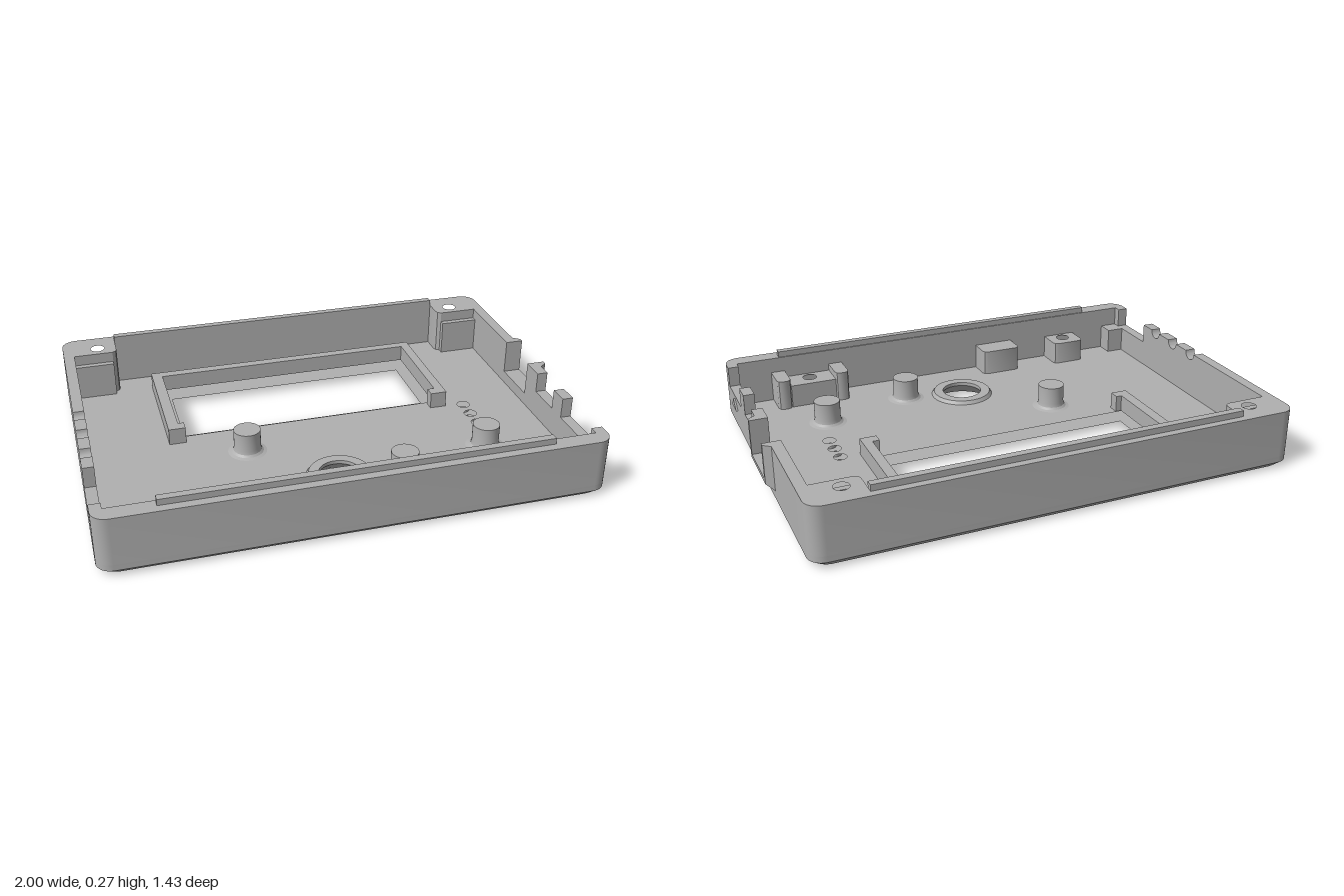
import * as THREE from 'three';
import { toCreasedNormals } from 'three/addons/utils/BufferGeometryUtils.js';

const X0 = -1, X1 = 0.97, Z = 0.715, CX = (X0 + X1) / 2, R = 0.06, FLOOR = 0.05, TOP = 0.245;

export function createModel() {
  const model = new THREE.Group();
  const plastic = new THREE.MeshStandardMaterial({ color: 0xb0b0b0 });
  plastic.name = 'grey plastic';

  const add = (name, geo) => {
    const mesh = new THREE.Mesh(toCreasedNormals(geo, 0.5), plastic);
    mesh.name = name;
    model.add(mesh);
    return mesh;
  };
  const box = (name, x0, x1, y0, y1, z0, z1) =>
    add(name, new THREE.BoxGeometry(x1 - x0, y1 - y0, z1 - z0)
      .translate((x0 + x1) / 2, (y0 + y1) / 2, (z0 + z1) / 2));

  // Plan shapes use (x, -z) and are extruded upward
  const poly = pts => new THREE.Shape(pts.map(([x, z]) => new THREE.Vector2(x, -z)));
  const hole = (x, z, r) => new THREE.Path().absarc(x, -z, r, 0, Math.PI * 2, true);
  const slab = (shape, y0, y1) =>
    new THREE.ExtrudeGeometry(shape, { depth: y1 - y0, bevelEnabled: false, curveSegments: 16 })
      .rotateX(-Math.PI / 2).translate(0, y0, 0);
  // Side shapes use (-z, y) and are extruded toward +x
  const side = (shape, x0, x1) =>
    new THREE.ExtrudeGeometry(shape, { depth: x1 - x0, bevelEnabled: false, curveSegments: 16 })
      .rotateY(Math.PI / 2).translate(x0, 0, 0);
  const sidePoly = pts => new THREE.Shape(pts.map(([z, y]) => new THREE.Vector2(-z, y)));
  // Points of a rounded outer corner
  const corner = (sx, sz, reverse) => {
    const pts = [];
    const cx = sx > 0 ? X1 - R : X0 + R;
    for (let i = 0; i <= 8; i++) {
      const a = i / 8 * Math.PI / 2;
      pts.push([cx + sx * R * Math.cos(a), sz * (Z - R + R * Math.sin(a))]);
    }
    return reverse ? pts.reverse() : pts;
  };

  const screws = [[-0.85, -0.61], [0.82, -0.61], [-0.64, 0.6], [0.62, 0.6]];

  // Floor: lower layer with chamfered rim, upper layer with display recess
  const floorShape = (x0, x1, z0, z1) => {
    const s = poly([...corner(1, 1), ...corner(-1, 1, true), ...corner(-1, -1), ...corner(1, -1, true)]);
    s.holes.push(new THREE.Path(poly([[x0, z0], [x1, z0], [x1, z1], [x0, z1]]).getPoints()));
    for (const [x, z] of screws) s.holes.push(hole(x, z, 0.045));
    for (const z of [-0.02, 0.06, 0.14]) s.holes.push(hole(0.665, z, 0.027));
    s.holes.push(hole(-0.02, 0.38, 0.135));
    return s;
  };
  const base = slab(floorShape(-0.555, 0.505, -0.455, -0.125), 0, 0.025);
  const p = base.attributes.position;
  for (let i = 0; i < p.count; i++) {
    const x = p.getX(i) - CX, z = p.getZ(i);
    if (p.getY(i) < 0.01 && (Math.abs(x) > 0.92 || Math.abs(z) > 0.66)) {
      p.setX(i, CX + x * 0.96 / 0.985);
      p.setZ(i, z * 0.69 / 0.715);
    }
  }
  base.computeVertexNormals();
  add('chamferedBase', base);
  add('floor', slab(floorShape(-0.585, 0.545, -0.505, -0.08), 0.025, FLOOR));

  // Back wall with solid corner blocks
  const back = poly([
    ...corner(-1, -1), ...corner(1, -1, true), [X1, -0.555], [0.76, -0.555], [0.745, -0.565], [0.74, -0.58],
    [0.74, -0.655], [-0.77, -0.655], [-0.77, -0.58], [-0.775, -0.565], [-0.79, -0.555], [X0, -0.555]]);
  screws.slice(0, 2).forEach(([x, z]) => back.holes.push(hole(x, z, 0.03)));
  add('backWall', slab(back, FLOOR, TOP));
  box('cornerLedge', -0.955, -0.79, FLOOR, 0.2, -0.555, -0.53);
  box('cornerLedge', 0.76, 0.925, FLOOR, 0.2, -0.555, -0.53);

  // Front wall with short returns
  add('frontWall', slab(poly([
    ...corner(1, 1), ...corner(-1, 1, true), [X0, 0.61], [-0.955, 0.61],
    [-0.955, 0.645], [0.925, 0.645], [0.925, 0.61], [X1, 0.61]]), FLOOR, TOP));
  box('frontLip', -0.77, 0.74, TOP, 0.27, 0.65, 0.68);
  box('backLip', -0.77, 0.74, TOP, 0.27, -0.685, -0.655);

  // Left side wall with connector openings
  add('leftWall', side(sidePoly([
    [-0.555, FLOOR], [-0.555, TOP], [-0.175, TOP], [-0.175, 0.1], [0.04, 0.1], [0.04, TOP],
    [0.14, TOP], [0.14, 0.16], [0.29, 0.16], [0.29, TOP], [0.37, TOP], [0.37, 0.16],
    [0.61, 0.16], [0.61, FLOOR]]), 0.925, X1));

  // Right side wall with three round cable notches
  const notched = [[-0.555, FLOOR], [-0.555, TOP]];
  for (const c of [-0.025, 0.12, 0.265]) {
    for (let i = 0; i <= 12; i++) {
      const a = i / 12 * Math.PI;
      notched.push([c - 0.032 * Math.cos(a), TOP - 0.032 * Math.sin(a)]);
    }
  }
  notched.push([0.37, TOP], [0.37, 0.16], [0.61, 0.16], [0.61, FLOOR]);
  add('rightWall', side(sidePoly(notched), X0, -0.955));

  // Raised connector surround with sloped outer edges
  const surround = side(sidePoly([
    [-0.215, TOP], [-0.175, TOP], [-0.175, 0.1], [0.04, 0.1], [0.04, TOP],
    [0.08, TOP], [0.08, 0.06], [-0.215, 0.06]]), X1, 1);
  const q = surround.attributes.position;
  for (let i = 0; i < q.count; i++) {
    if (q.getX(i) < 0.99) continue;
    if (q.getZ(i) > 0.07) q.setZ(i, 0.057);
    if (q.getZ(i) < -0.2) q.setZ(i, -0.192);
    if (q.getY(i) < 0.07) q.setY(i, 0.083);
  }
  surround.computeVertexNormals();
  add('connectorSurround', surround);
  add('triangleMark', side(sidePoly([[0.545, 0.105], [0.503, 0.148], [0.46, 0.105]]), X1, X1 + 0.008));

  // Display frame, open toward the front
  add('displayFrame', slab(poly([
    [-0.63, -0.03], [-0.63, -0.545], [0.585, -0.545], [0.585, -0.03], [0.515, -0.03], [0.515, -0.075],
    [0.545, -0.075], [0.545, -0.505], [-0.585, -0.505], [-0.585, -0.075], [-0.56, -0.075], [-0.56, -0.03]]),
  FLOOR, 0.12));

  // Support pillars with filleted feet
  for (const [x, z] of [[-0.33, 0.1], [0.23, 0.43], [0.62, 0.32]]) {
    const pts = [[0.08, 0.05], [0.066, 0.054], [0.058, 0.062], [0.055, 0.075], [0.055, 0.15], [0, 0.15]];
    add('pillar', new THREE.LatheGeometry(pts.map(a => new THREE.Vector2(...a)), 32)).position.set(x, 0, z);
  }

  // Countersunk knob opening
  const ring = [[0.135, 0], [0.135, 0.05], [0.125, 0.065], [0.085, 0.065], [0.085, 0.05], [0.135, 0]];
  add('knobRing', new THREE.LatheGeometry(ring.map(a => new THREE.Vector2(...a)), 40)).position.set(-0.02, 0, 0.38);

  // Front screw bosses and support blocks
  const boss = (name, x0, x1, z0, y1, screw) => {
    const c = 0.02;
    const s = poly([[x0, 0.645], [x0, z0 + c], [x0 + c * 0.3, z0 + c * 0.3], [x0 + c, z0],
      [x1 - c, z0], [x1 - c * 0.3, z0 + c * 0.3], [x1, z0 + c], [x1, 0.645]]);
    if (screw) s.holes.push(hole(screw[0], screw[1], 0.03));
    add(name, slab(s, FLOOR, y1));
  };
  boss('screwBoss', -0.715, -0.565, 0.53, 0.15, screws[2]);
  boss('supportBlock', -0.38, -0.2, 0.54, 0.16);
  boss('bossEar', 0.46, 0.52, 0.52, 0.18);
  boss('bossEar', 0.72, 0.78, 0.52, 0.18);
  const middle = poly([[0.52, 0.645], [0.52, 0.53], [0.72, 0.53], [0.72, 0.645]]);
  middle.holes.push(hole(...screws[3], 0.03));
  add('screwBoss', slab(middle, FLOOR, 0.15));
  box('cornerBlock', -0.955, -0.88, FLOOR, 0.16, 0.57, 0.645);

  // Blind ends inside the screw holes
  for (const [x, z] of screws) {
    add('screwHoleEnd', new THREE.CylinderGeometry(0.031, 0.031, 0.01, 20)).position.set(x, 0.11, z);
  }
  return model;
}
